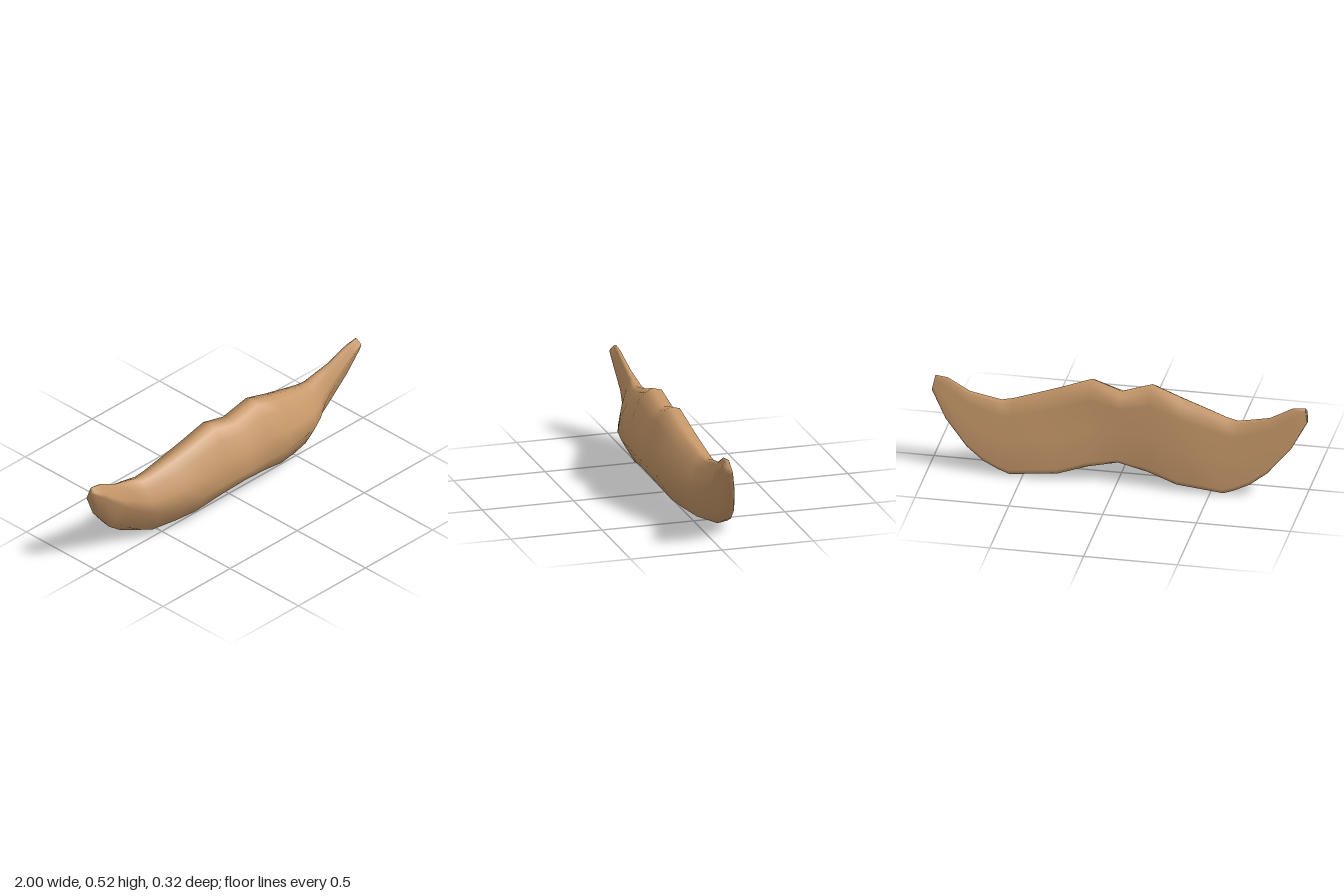
import * as THREE from 'three';

// Stations from the middle outwards:
// x, top y, bottom y, front z, height share of the belly, depth share of the lower edge, back inset
const STATIONS = [
  [0, 0.475, 0.1, 0.155, 0.3, 0.8, 0.08],
  [0.16, 0.525, 0.068, 0.152, 0.32, 0.7, 0.05],
  [0.32, 0.47, 0.02, 0.14, 0.4, 0.5, 0.02],
  [0.44, 0.433, 0.013, 0.122, 0.45, 0.4, 0],
  [0.57, 0.395, 0.003, 0.08, 0.48, 0.32, 0],
  [0.63, 0.385, 0.025, 0.055, 0.5, 0.35, 0],
  [0.71, 0.403, 0.064, 0.01, 0.52, 0.42, 0],
  [0.8, 0.422, 0.132, -0.004, 0.6, 0.5, 0],
  [0.92, 0.484, 0.27, -0.002, 0.65, 0.48, 0],
  [1, 0.492, 0.415, -0.004, 0.6, 0.45, 0],
];

// The flat back leans forward towards the top
const backZ = (y) => -0.17 + 0.26 * y;

// Closed outline of one cross-section, going bottom, front, top, back
function ring([x, top, bottom, front, belly, low, inset], side) {
  const at = (v) => bottom + v * (top - bottom);
  const depth = front - backZ(at(belly));
  const outline = [
    [0, low], [0.12, low + 0.7 * (1 - low)], [belly, 1],
    [(belly + 0.85) / 2, 0.84], [0.85, 0.56], [0.96, 0.35], [1, 0.2],
    [0.97, 0.02], [0.8, 0], [0.45, inset], [0.09, inset], [0.02, 0.1 + inset],
  ];
  return outline.map(([v, w]) => {
    const shear = x === 1 ? 0.015 * v : 0; // slanted tip
    return [side * (x - shear), at(v), backZ(at(v)) + w * depth];
  });
}

function createMoustacheGeometry() {
  const rings = [
    ...STATIONS.slice(1).reverse().map((s) => ring(s, -1)),
    ...STATIONS.map((s) => ring(s, 1)),
  ];
  const n = rings[0].length;
  const last = rings.length - 1;
  const points = rings.flat();
  const index = [];

  // Skin between neighbouring sections
  for (let i = 0; i < last; i++) {
    for (let j = 0; j < n; j++) {
      const k = (j + 1) % n;
      const a = i * n + j, b = a + n, c = i * n + k, d = c + n;
      index.push(a, b, c, b, d, c);
    }
  }

  // Small caps closing both tips
  for (const i of [0, last]) {
    const centre = points.length;
    points.push([0, 1, 2].map((axis) => rings[i].reduce((sum, p) => sum + p[axis], 0) / n));
    for (let j = 0; j < n; j++) {
      const a = i * n + j, b = i * n + (j + 1) % n;
      if (i === 0) index.push(centre, a, b);
      else index.push(centre, b, a);
    }
  }

  const geometry = new THREE.BufferGeometry();
  geometry.setAttribute('position', new THREE.Float32BufferAttribute(points.flat(), 3));
  geometry.setIndex(index);
  geometry.computeVertexNormals();
  return geometry;
}

export function createModel() {
  const group = new THREE.Group();
  group.name = 'moustacheModel';
  const material = new THREE.MeshStandardMaterial({ color: 0xc8996a });
  const moustache = new THREE.Mesh(createMoustacheGeometry(), material);
  moustache.name = 'moustache';
  group.add(moustache);
  return group;
}
